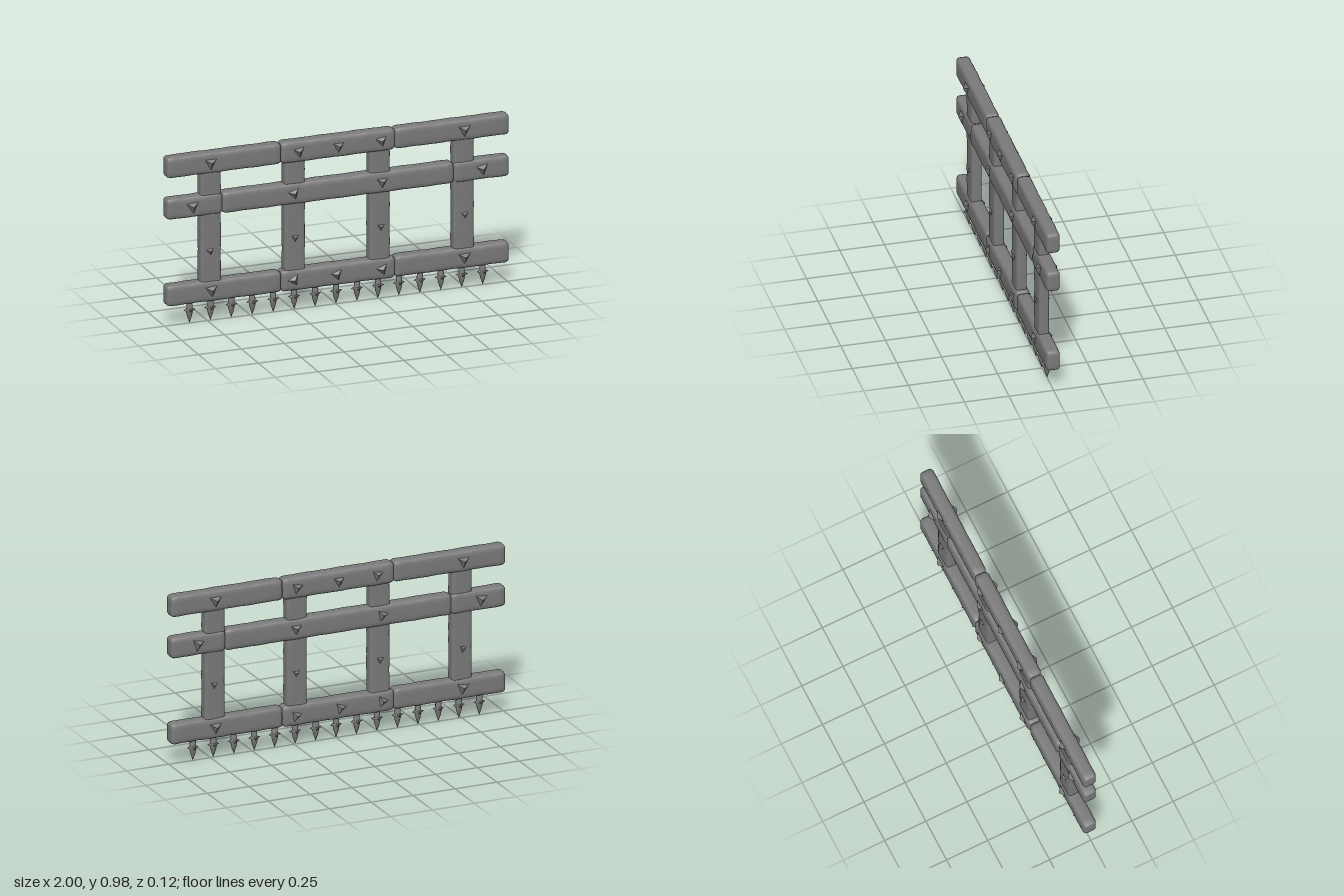
import * as THREE from 'three';
import { mergeVertices } from 'three/addons/utils/BufferGeometryUtils.js';

const smooth = new THREE.MeshStandardMaterial({ color: 0x7a7a7a });
const faceted = new THREE.MeshStandardMaterial({ color: 0x7a7a7a, flatShading: true });

// Rounded timber with worn edges; "long" is the axis the wear runs along
function timberGeometry(w, h, d, radius, long, seed) {
  const n = (s) => Math.max(8, Math.round(s / 0.02));
  let geo = new THREE.BoxGeometry(w, h, d, n(w), n(h), 8);
  geo.deleteAttribute('uv');
  geo.deleteAttribute('normal');
  geo = mergeVertices(geo, 1e-5);
  const inner = new THREE.Vector3(w / 2 - radius, h / 2 - radius, d / 2 - radius);
  const lower = inner.clone().negate();
  const across = long === 'x' ? 'y' : 'x';
  const halfAcross = (long === 'x' ? h : w) / 2;
  const pos = geo.attributes.position;
  const p = new THREE.Vector3(), core = new THREE.Vector3();
  for (let i = 0; i < pos.count; i++) {
    p.fromBufferAttribute(pos, i);
    core.copy(p).clamp(lower, inner);
    p.sub(core).setLength(radius).add(core);
    // each of the four long edges is chipped on its own rhythm
    const t = p[long];
    const phase = seed * 2.1 + Math.sign(p[across]) * 1.3 + Math.sign(p.z) * 2.7;
    const wear = 0.5 + 0.3 * Math.sin(t * 27 + phase) + 0.2 * Math.sin(t * 61 + phase * 1.7);
    const edge = Math.abs(p[across] / halfAcross) * Math.abs(p.z / (d / 2));
    p[across] *= 0.99 - 0.08 * wear * edge * edge;
    p.z *= 0.985 - 0.07 * wear * edge * edge;
    pos.setXYZ(i, p.x, p.y, p.z);
  }
  geo.computeVertexNormals();
  return geo;
}

export function createModel() {
  const group = new THREE.Group();
  let seed = 1;

  function add(name, geo, x, y, z = 0, material = smooth, parent = group) {
    const mesh = new THREE.Mesh(geo, material);
    mesh.name = name;
    mesh.position.set(x, y, z);
    parent.add(mesh);
    return mesh;
  }

  // Three rails, each of three butted planks
  const rails = [
    ['bottomRail', 0.183, 0.332],
    ['middleRail', 0.68, 0.675],
    ['topRail', 0.919, 0.332],
  ];
  for (const [name, y, joint] of rails) {
    const end = 0.998 - joint;
    const middle = timberGeometry(joint * 2, 0.125, 0.084, 0.022, 'x', seed++);
    add(name + 'Middle', middle, 0, y);
    for (const side of [-1, 1]) {
      const geo = timberGeometry(end, 0.122, 0.08, 0.02, 'x', seed++);
      add(name + (side > 0 ? 'Left' : 'Right'), geo, side * (joint + end / 2), y);
    }
  }

  // Upright posts
  for (const x of [-0.74, -0.25, 0.245, 0.735]) {
    add('post', timberGeometry(0.122, 0.72, 0.062, 0.01, 'y', seed++), x, 0.55);
  }

  // Three-sided studs on both faces: x, y, turn
  const railStuds = [
    [-0.745, 0.922, 0], [-0.23, 0.922, 0.15], [0, 0.922, 0], [0.25, 0.922, 0.2], [0.735, 0.922, 0],
    [-0.85, 0.685, 0.1], [-0.26, 0.685, 0.3], [0.255, 0.685, 0], [0.84, 0.685, 0.2],
    [-0.74, 0.19, 0.1], [-0.26, 0.187, 0.5], [-0.01, 0.187, 0.3], [0.255, 0.182, 0.35], [0.735, 0.19, 0],
  ];
  const postStuds = [[-0.745, 0.413, 0.2], [-0.25, 0.425, 0], [0.25, 0.425, 0], [0.74, 0.432, 0.15]];
  const studGeometry = (r, h) => new THREE.CylinderGeometry(r * 0.13, r, h, 3).rotateX(Math.PI / 2);
  const addStuds = (list, name, geo, z) => {
    for (const [x, y, turn] of list) {
      add(name + 'Front', geo, x, y, z, faceted).rotation.z = turn;
      const back = add(name + 'Back', geo, x, y, -z, faceted);
      back.rotation.set(0, Math.PI, -turn);
    }
  };
  addStuds(railStuds, 'railStud', studGeometry(0.046, 0.024), 0.047);
  addStuds(postStuds, 'postStud', studGeometry(0.028, 0.016), 0.035);

  // Hanging spikes with four barbs each
  const spikeProfile = [[0, 0.14], [0.017, 0.14], [0.018, 0.088], [0.021, 0.076], [0.014, 0.045], [0, 0.004]]
    .map(([r, y]) => new THREE.Vector2(r, y)).reverse();
  const spikeGeo = new THREE.LatheGeometry(spikeProfile, 8);
  const barbGeo = new THREE.ConeGeometry(0.011, 0.022, 5).rotateZ(-Math.PI / 2).translate(0.025, 0, 0);
  for (let i = -7; i <= 7; i++) {
    const spike = new THREE.Group();
    spike.name = 'spike';
    spike.position.x = i * 0.1222;
    add('spikeShaft', spikeGeo, 0, 0, 0, smooth, spike);
    for (let k = 0; k < 4; k++) {
      add('barb', barbGeo, 0, 0.08, 0, smooth, spike).rotation.y = k * Math.PI / 2;
    }
    group.add(spike);
  }
  return group;
}
